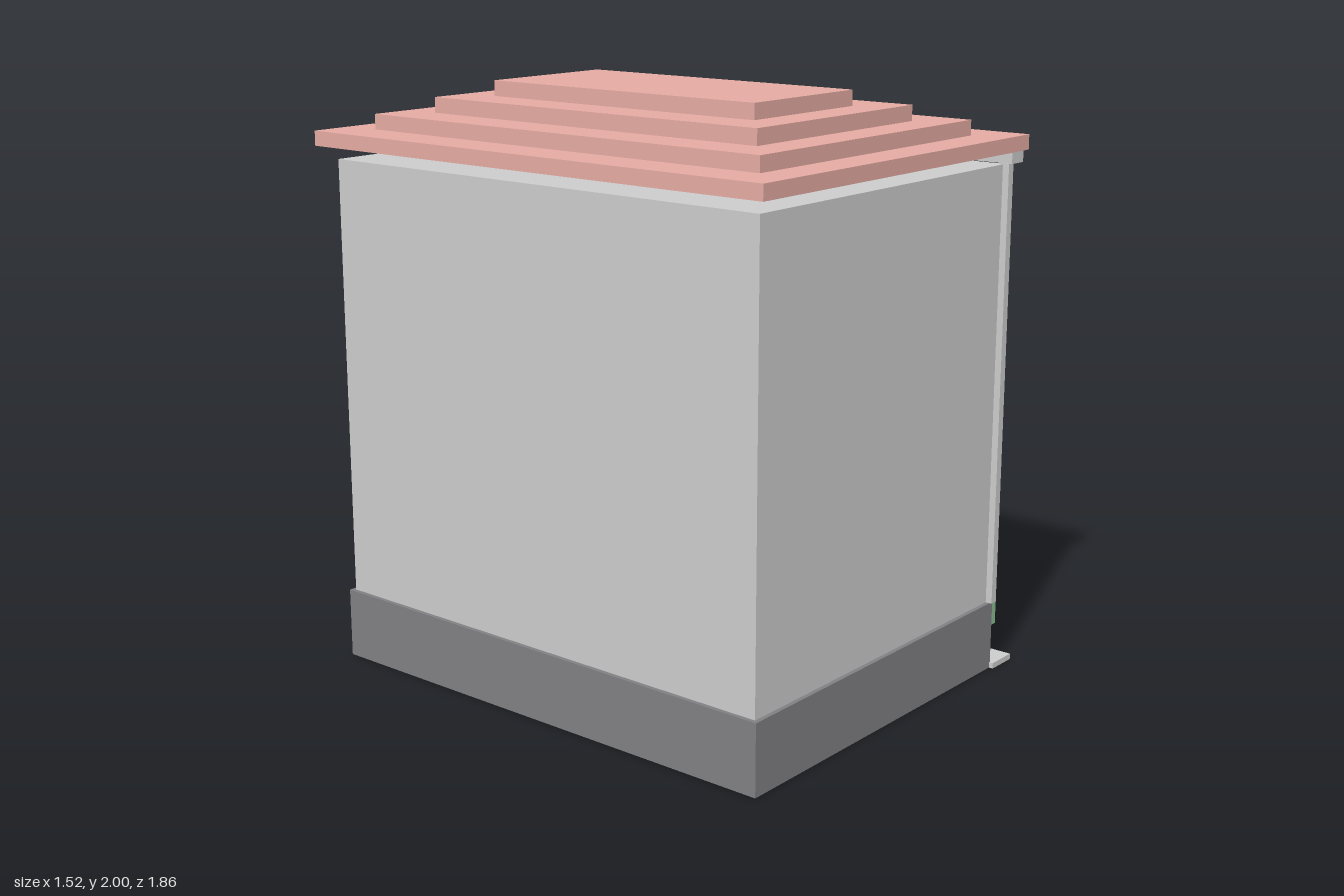
import * as THREE from 'three';

const material = (color) => new THREE.MeshStandardMaterial({ color });
const grey = material(0xcccccc);
const dark = material(0x808084);
const red = material(0xe4aaa2);
const green = material(0x88be90);

// Box given by its limits along each axis
function block(name, mat, [x0, x1], [y0, y1], [z0, z1]) {
  const mesh = new THREE.Mesh(new THREE.BoxGeometry(x1 - x0, y1 - y0, z1 - z0), mat);
  mesh.name = name;
  mesh.position.set((x0 + x1) / 2, (y0 + y1) / 2, (z0 + z1) / 2);
  return mesh;
}

// Limits along z, mirrored for side -1
const span = (side, near, far) => (side > 0 ? [near, far] : [-far, -near]);

export function createModel() {
  const model = new THREE.Group();
  model.name = 'house';

  // Walls, with a small gap left under the roof
  model.add(block('walls', grey, [-0.71, 0.6], [0.002, 1.75], [-0.88, 0.88]));

  // Dark skirting on three sides
  model.add(block('backSkirting', dark, [-0.725, -0.705], [0, 0.24], [-0.895, 0.895]));

  // Door-side sill and lintel
  model.add(block('sill', grey, [0.6, 0.715], [0, 0.02], [-0.91, 0.91]));
  model.add(block('lintel', grey, [0.59, 0.66], [1.753, 1.795], [-0.912, 0.912]));

  for (const side of [1, -1]) {
    model.add(block('sideSkirting', dark, [-0.72, 0.605], [0, 0.24], span(side, 0.875, 0.895)));
    model.add(block('cornerPost', grey, [0.587, 0.615], [0.24, 1.753], span(side, 0.865, 0.903)));

    // Planter: red pot with a green hedge block
    const planter = new THREE.Group();
    planter.name = 'planter';
    planter.add(block('pot', red, [0.63, 0.737], [0, 0.1], span(side, 0.65, 0.8)));
    planter.add(block('hedge', green, [0.605, 0.757], [0.1, 0.21], span(side, 0.628, 0.82)));
    model.add(planter);
  }

  // Stepped roof
  const roof = new THREE.Group();
  roof.name = 'roof';
  const levels = [1.795, 1.845, 1.896, 1.948, 2];
  for (let i = 0; i < 4; i++) {
    const z = 0.931 - 0.128 * i;
    roof.add(block('roofTier', red, [-0.763 + 0.152 * i, 0.66 - 0.152 * i], [levels[i], levels[i + 1]], [-z, z]));
  }
  model.add(roof);

  return model;
}
